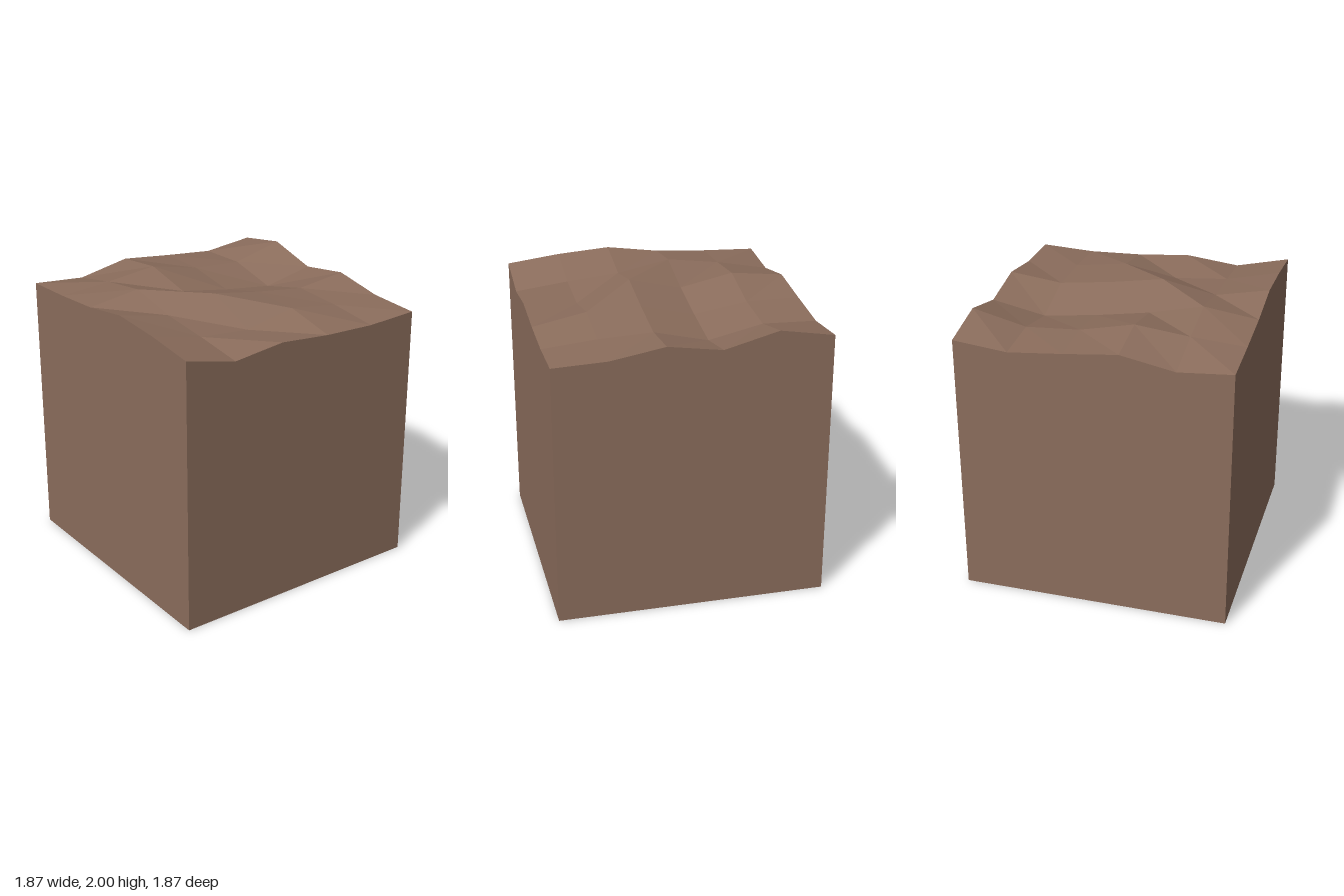
import * as THREE from 'three';

// Ground heights: rows run back to front, columns run from -x to +x
const HEIGHTS = [
  [1.90, 1.964, 1.865, 1.922, 1.858, 1.845],
  [1.862, 1.874, 1.79, 1.88, 1.865, 1.83],
  [1.90, 1.90, 1.84, 1.93, 1.92, 1.845],
  [1.943, 1.985, 1.905, 1.995, 1.85, 1.88],
  [1.872, 1.945, 1.995, 1.92, 1.885, 1.84],
  [1.905, 1.92, 1.945, 2.0, 1.975, 1.93],
];
const N = 5;
const SIZE = 1.87;
const coord = (i) => (i / N - 0.5) * SIZE;

// Wall below one terrain border; the corners run left to right seen from outside
function makeWall(name, gridPoint, material) {
  const wall = new THREE.PlaneGeometry(1, 1, N, 1);
  const pos = wall.attributes.position;
  for (let i = 0; i <= N; i++) {
    const [col, row] = gridPoint(i);
    pos.setXYZ(i, coord(col), HEIGHTS[row][col], coord(row));
    pos.setXYZ(i + N + 1, coord(col), 0, coord(row));
  }
  wall.computeVertexNormals();
  const mesh = new THREE.Mesh(wall, material);
  mesh.name = name;
  return mesh;
}

export function createModel() {
  const group = new THREE.Group();
  group.name = 'terrainBlock';
  const earth = new THREE.MeshStandardMaterial({
    color: 0x8b6d5c, flatShading: true, side: THREE.DoubleSide,
  });
  earth.name = 'earthBrown';

  // Uneven top
  const top = new THREE.PlaneGeometry(SIZE, SIZE, N, N).rotateX(-Math.PI / 2);
  HEIGHTS.flat().forEach((h, i) => top.attributes.position.setY(i, h));
  top.computeVertexNormals();
  const ground = new THREE.Mesh(top, earth);
  ground.name = 'groundSurface';
  group.add(ground);

  // Four sides, open underneath
  group.add(
    makeWall('frontWall', (i) => [i, N], earth),
    makeWall('leftWall', (i) => [N, N - i], earth),
    makeWall('backWall', (i) => [N - i, 0], earth),
    makeWall('rightWall', (i) => [0, i], earth),
  );
  return group;
}
